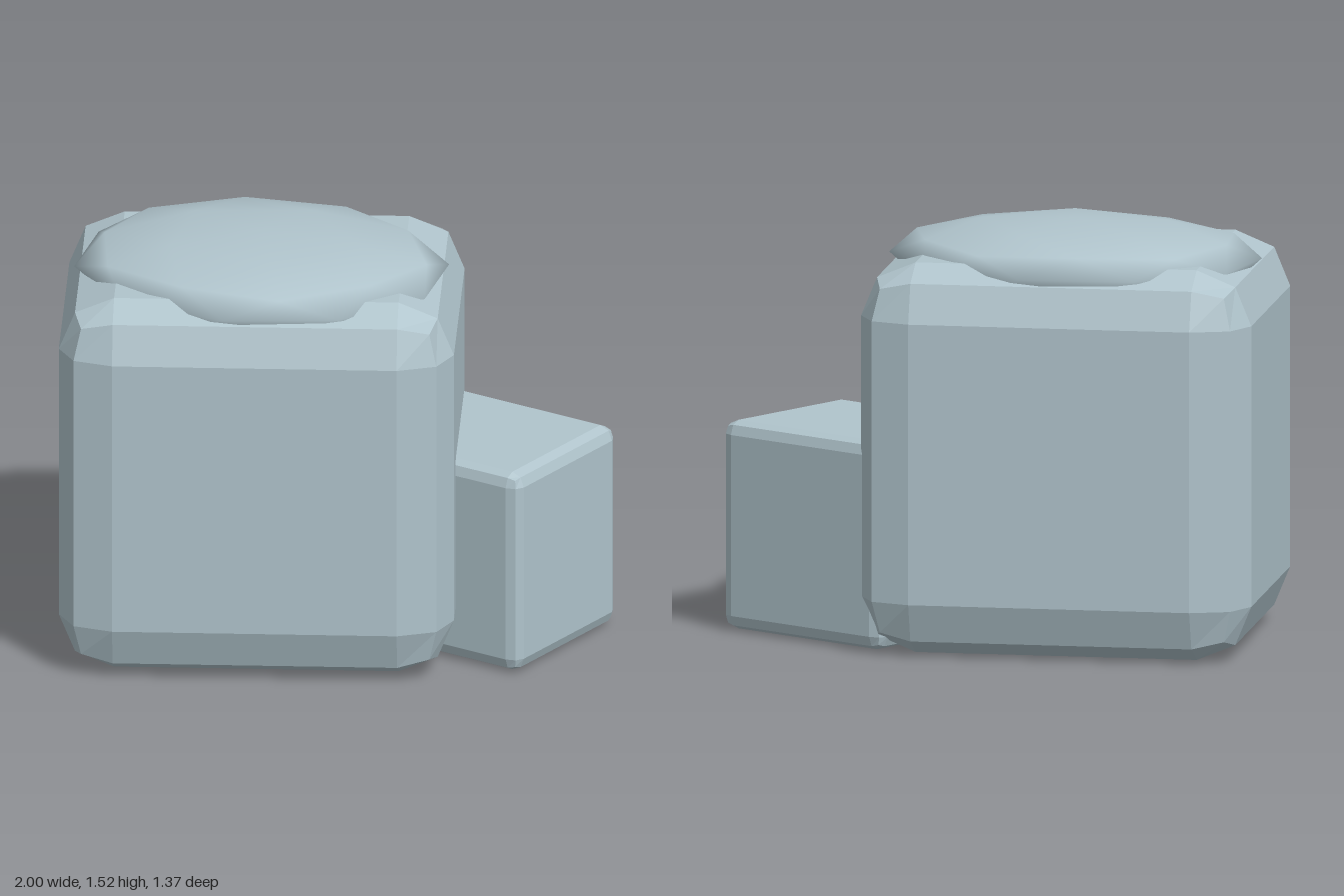
import * as THREE from 'three';
import { RoundedBoxGeometry } from 'three/addons/geometries/RoundedBoxGeometry.js';

const stone = new THREE.MeshStandardMaterial({ color: 0xb0c4cc });
stone.name = 'paleStone';

// Block with two-step faceted bevels; the bevel stretches with the block
function bevelledBlock(name, size, bevel, position, turn) {
  const geometry = new RoundedBoxGeometry(1, 1, 1, 1, bevel);
  geometry.scale(...size);
  geometry.computeVertexNormals(); // non-indexed, so the facets stay flat
  const mesh = new THREE.Mesh(geometry, stone);
  mesh.name = name;
  mesh.position.set(...position);
  mesh.rotation.y = turn;
  return mesh;
}

export function createModel() {
  const model = new THREE.Group();
  model.name = 'stoneBlocks';

  // Large block and the small block that leans into its side
  model.add(bevelledBlock('largeBlock', [1.42, 1.42, 1.19], 0.14, [-0.22, 0.71, 0], 0.206));
  model.add(bevelledBlock('smallBlock', [0.76, 0.76, 0.645], 0.066, [0.547, 0.385, -0.171], -0.349));

  // Smooth, flattened cap: a coarse ball with one corner turned to the top
  const ball = new THREE.IcosahedronGeometry(1, 1);
  ball.rotateZ(-Math.atan(2 / (1 + Math.sqrt(5))));
  ball.scale(0.683, 0.137, 0.57);
  const cap = new THREE.Mesh(ball, stone);
  cap.name = 'topCap';
  cap.position.set(-0.22, 1.388, 0);
  model.add(cap);

  return model;
}
